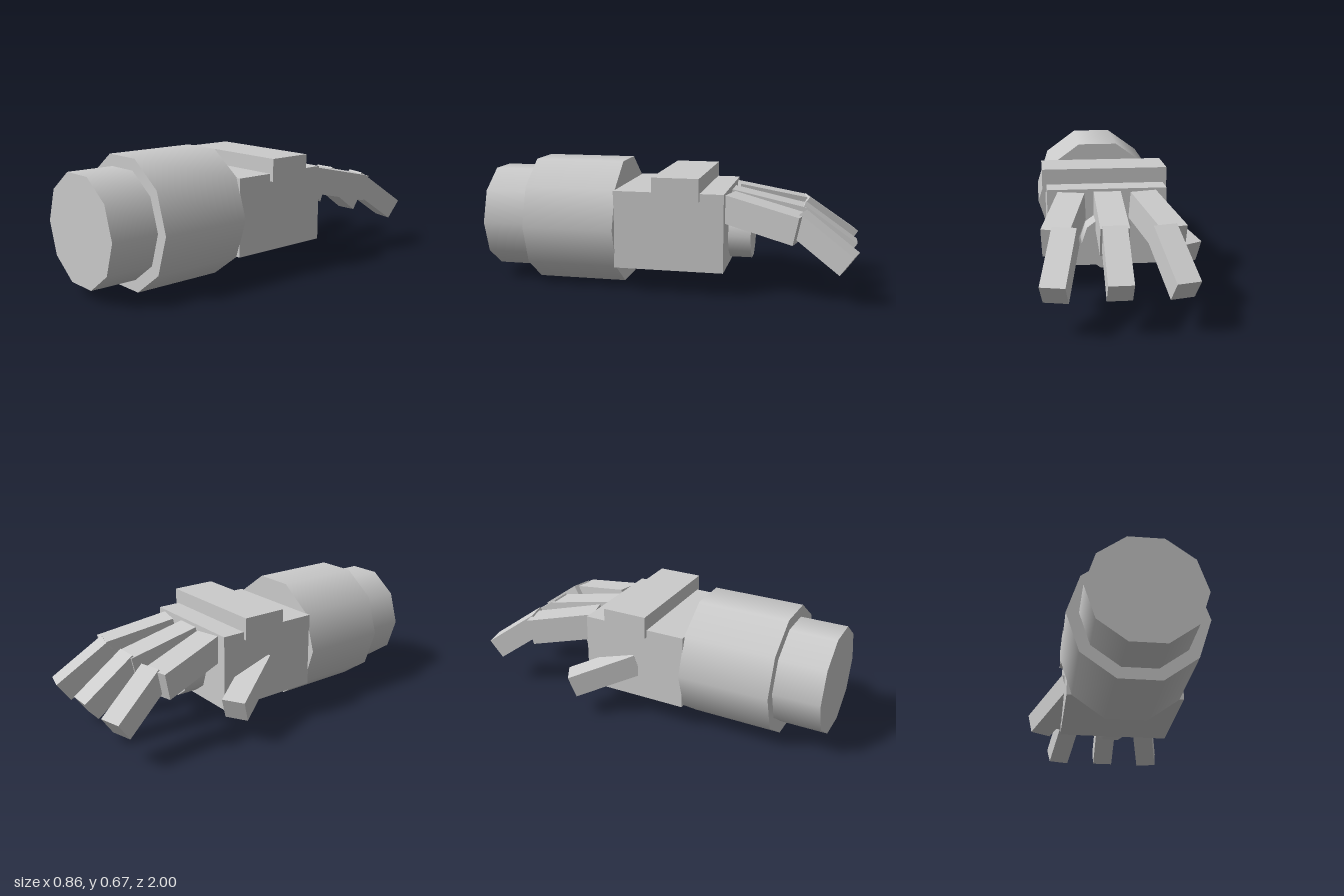
import * as THREE from 'three';

const material = new THREE.MeshStandardMaterial({ color: 0xcccccc });
const CX = 0.07; // centre line of the arm
const rad = THREE.MathUtils.degToRad;

function add(parent, name, geometry, x, y, z) {
  const mesh = new THREE.Mesh(geometry, material);
  mesh.name = name;
  mesh.position.set(x, y, z);
  parent.add(mesh);
  return mesh;
}

// Box given by its limits on each axis
function block(parent, name, [x0, x1], [y0, y1], [z0, z1]) {
  return add(parent, name, new THREE.BoxGeometry(x1 - x0, y1 - y0, z1 - z0),
    (x0 + x1) / 2, (y0 + y1) / 2, (z0 + z1) / 2);
}

// Ten-sided drum along z, with corners pointing to both sides
function drum(parent, name, radius, y, z0, z1) {
  const geometry = new THREE.CylinderGeometry(radius, radius, z1 - z0, 10, 1, false, Math.PI / 2);
  geometry.rotateX(Math.PI / 2);
  return add(parent, name, geometry, CX, y, (z0 + z1) / 2);
}

// Bar pointing to -z, turned sideways by yaw and dipped by pitch (degrees)
function bar(parent, name, [w, h, l], [x, y, z], yaw, pitch) {
  const mesh = add(parent, name, new THREE.BoxGeometry(w, h, l), x, y, z);
  mesh.rotation.set(rad(-pitch), rad(yaw), 0, 'YXZ');
  return mesh;
}

export function createModel() {
  const model = new THREE.Group();
  model.name = 'mechanicalHand';

  // Forearm
  drum(model, 'forearmEnd', 0.287, 0.335, 0.7, 1);
  drum(model, 'forearm', 0.35, 0.335, 0.257, 0.75);

  // Palm with its back plate and the muzzle between the fingers
  block(model, 'palm', [-0.24, 0.378], [0.13, 0.54], [-0.32, 0.26]);
  block(model, 'backPlate', [-0.26, 0.4], [0.5, 0.62], [-0.195, 0.05]);
  drum(model, 'palmMuzzle', 0.14, 0.288, -0.44, -0.3);

  // Three spread fingers of two segments each
  for (const side of [-1, 0, 1]) {
    const finger = new THREE.Group();
    finger.name = ['rightFinger', 'middleFinger', 'leftFinger'][side + 1];
    const yaw = -14 * side;
    bar(finger, 'fingerBase', [0.14, 0.146, 0.4], [CX + side * 0.23, 0.416, -0.512], yaw, 12);
    bar(finger, 'fingerTip', [0.12, 0.12, 0.34], [CX + side * 0.264, 0.311, -0.817], yaw, 35);
    model.add(finger);
  }

  // Thumb, sloping out and down from the right side
  bar(model, 'thumb', [0.125, 0.122, 0.38], [-0.276, 0.253, -0.193], 30, 20);

  return model;
}
